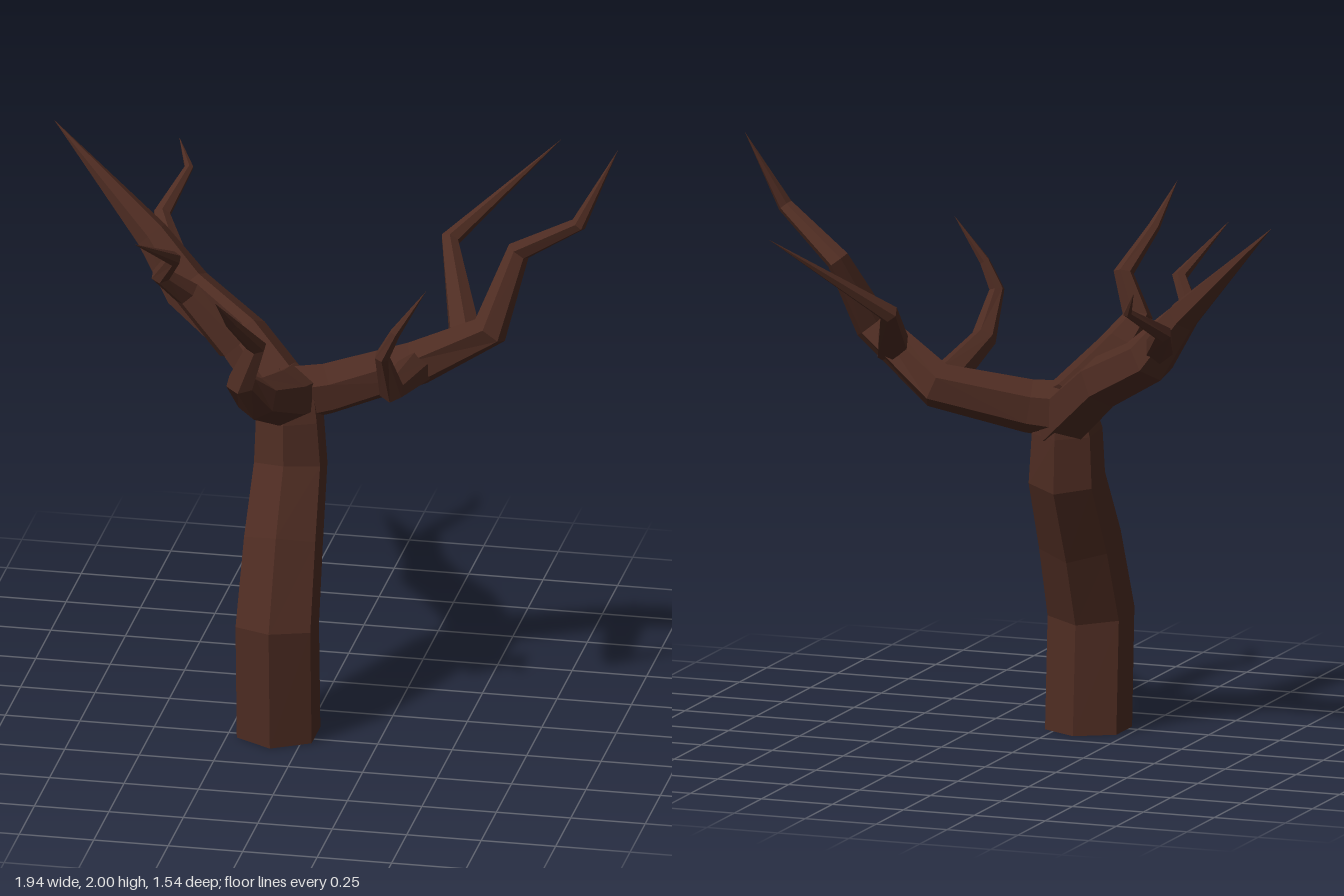
import * as THREE from 'three';

// Skins a faceted limb along nodes [x, y, z, radius]; both ends are closed.
function limbGeometry(nodes, sides, up) {
  const pts = nodes.map(n => new THREE.Vector3(n[0], n[1], n[2]));
  const last = pts.length - 1;
  const side = up.clone();
  const rings = pts.map((p, i) => {
    // Ring plane bisects the neighbouring segments
    const t = new THREE.Vector3();
    if (i > 0) t.add(p.clone().sub(pts[i - 1]).normalize());
    if (i < last) t.add(pts[i + 1].clone().sub(p).normalize());
    t.normalize();
    if (i === 0 && p.y === 0) t.set(0, 1, 0); // level foot
    side.addScaledVector(t, -side.dot(t)).normalize();
    const across = new THREE.Vector3().crossVectors(t, side);
    return Array.from({ length: sides }, (_, k) => {
      const a = (k / sides) * Math.PI * 2;
      return p.clone()
        .addScaledVector(side, Math.cos(a) * nodes[i][3])
        .addScaledVector(across, Math.sin(a) * nodes[i][3]);
    });
  });
  const out = [];
  const tri = (...corners) => corners.forEach(c => out.push(c.x, c.y, c.z));
  for (let k = 0; k < sides; k++) {
    const n = (k + 1) % sides;
    tri(pts[0], rings[0][n], rings[0][k]);
    for (let i = 0; i < last; i++) {
      const a = rings[i], b = rings[i + 1];
      tri(a[k], a[n], b[n]);
      if (nodes[i + 1][3] > 0) tri(a[k], b[n], b[k]);
    }
    if (nodes[last][3] > 0) tri(pts[last], rings[last][k], rings[last][n]);
  }
  // Pointed tips: the collapsed ring already meets in one point
  const geo = new THREE.BufferGeometry();
  geo.setAttribute('position', new THREE.Float32BufferAttribute(out, 3));
  geo.computeVertexNormals();
  return geo;
}

export function createModel() {
  const tree = new THREE.Group();
  tree.name = 'bareTree';
  const bark = new THREE.MeshStandardMaterial({ color: 0x4e2c22, flatShading: true });
  bark.name = 'dark brown bark';

  const limb = (name, nodes, sides = 6, up = new THREE.Vector3(0, 1, 0)) => {
    const mesh = new THREE.Mesh(limbGeometry(nodes, sides, up), bark);
    mesh.name = name;
    tree.add(mesh);
  };

  // Trunk with an S-shaped lean
  limb('trunk', [
    [-0.09, 0, 0.215, 0.145],
    [-0.09, 0.39, 0.237, 0.145],
    [-0.09, 0.65, 0.135, 0.138],
    [-0.09, 0.88, 0.015, 0.128],
    [-0.095, 1.04, 0.005, 0.118],
    [-0.09, 1.16, -0.01, 0.09],
  ], 6, new THREE.Vector3(0, 0, 1));

  // Left bough and its offshoots
  limb('leftBough', [
    [-0.12, 1.11, 0.0, 0.1],
    [0.02, 1.125, -0.05, 0.09],
    [0.3, 1.195, -0.16, 0.078],
    [0.56, 1.365, -0.08, 0.062],
    [0.63, 1.6, -0.21, 0.04],
    [0.85, 1.75, -0.12, 0.026],
    [0.97, 2.0, -0.18, 0],
  ]);
  limb('leftBackBranch', [
    [0.48, 1.29, -0.09, 0.06],
    [0.34, 1.5, -0.5, 0.033],
    [0.66, 1.775, -0.77, 0],
  ]);
  limb('leftFrontBranch', [
    [0.3, 1.19, -0.12, 0.06],
    [0.3, 1.27, 0.27, 0.042],
    [0.285, 1.42, 0.35, 0.026],
    [0.33, 1.51, 0.355, 0.018],
    [0.43, 1.66, 0.335, 0],
  ]);

  // Front bough
  limb('frontBough', [
    [-0.09, 1.11, -0.03, 0.1],
    [-0.1, 1.15, 0.12, 0.092],
    [-0.13, 1.245, 0.37, 0.07],
    [-0.165, 1.34, 0.47, 0.05],
    [-0.11, 1.48, 0.485, 0.034],
    [-0.165, 1.61, 0.62, 0.02],
    [-0.19, 1.74, 0.77, 0],
  ]);

  // Right bough and its offshoots
  limb('rightBough', [
    [-0.07, 1.06, 0.0, 0.1],
    [-0.28, 1.245, -0.14, 0.09],
    [-0.49, 1.36, -0.25, 0.083],
    [-0.62, 1.52, -0.3, 0.057],
    [-0.97, 1.86, -0.4, 0],
  ]);
  limb('rightFrontBranch', [
    [-0.3, 1.24, -0.1, 0.07],
    [-0.46, 1.41, -0.09, 0.047],
    [-0.53, 1.5, -0.01, 0.034],
    [-0.48, 1.58, 0.035, 0.026],
    [-0.56, 1.725, 0.285, 0],
  ]);
  limb('rightBackBranch', [
    [-0.52, 1.39, -0.26, 0.055],
    [-0.63, 1.505, -0.51, 0.03],
    [-0.575, 1.605, -0.69, 0.016],
    [-0.62, 1.685, -0.75, 0],
  ]);

  return tree;
}
